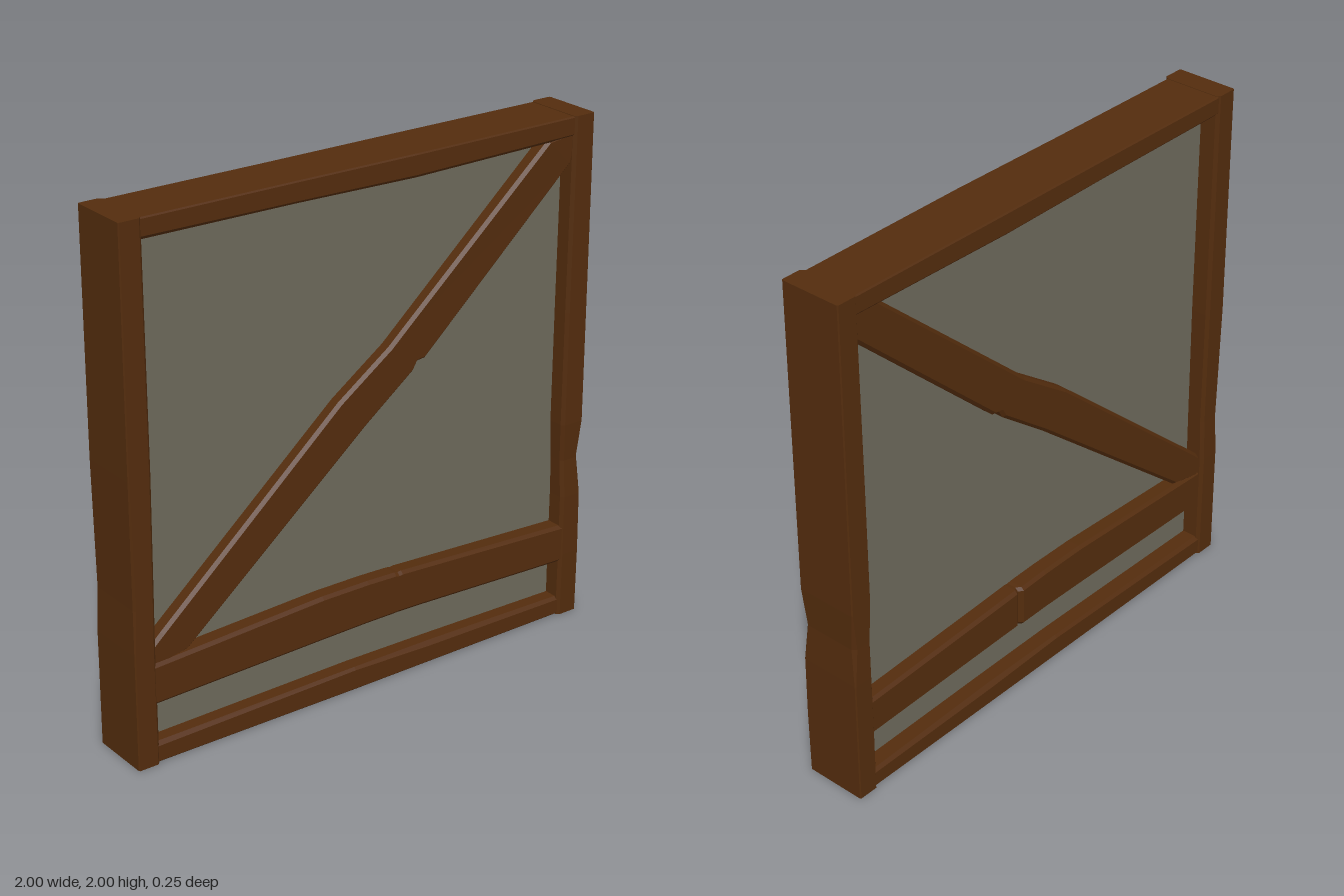
import * as THREE from 'three';

const wood = new THREE.MeshStandardMaterial({ color: 0x532c0d, flatShading: true });
wood.name = 'dark timber';
const plaster = new THREE.MeshStandardMaterial({ color: 0x6d695b });
plaster.name = 'grey plaster';

// Rough-hewn beam: each station is [ax, ay, bx, by, zFront, zBack, chamferA, chamferB],
// where a and b are the two long edges of the beam; sections have cut corners.
function beam(name, stations) {
  const rings = stations.map(([ax, ay, bx, by, zf, zb, ca = 0.012, cb = 0.012]) => {
    const len = Math.hypot(bx - ax, by - ay);
    const at = (d, z) => new THREE.Vector3(ax + (bx - ax) * d / len, ay + (by - ay) * d / len, z);
    const a = Math.min(ca, len / 3), b = Math.min(cb, len / 3);
    return [
      at(a, zb), at(len - b, zb), at(len, zb + b), at(len, zf - b),
      at(len - b, zf), at(a, zf), at(0, zf - a), at(0, zb + a),
    ];
  });
  const pos = [];
  const tri = (...pts) => pts.forEach((p) => pos.push(p.x, p.y, p.z));
  for (let k = 0; k < rings.length - 1; k++) {
    const r = rings[k], s = rings[k + 1];
    for (let i = 0; i < 8; i++) {
      const j = (i + 1) % 8;
      tri(r[i], r[j], s[j]);
      tri(r[i], s[j], s[i]);
    }
  }
  const first = rings[0], last = rings[rings.length - 1];
  for (let i = 1; i < 7; i++) {
    tri(first[0], first[i + 1], first[i]);
    tri(last[0], last[i], last[i + 1]);
  }
  const geo = new THREE.BufferGeometry();
  geo.setAttribute('position', new THREE.Float32BufferAttribute(pos, 3));
  geo.computeVertexNormals();
  const mesh = new THREE.Mesh(geo, wood);
  mesh.name = name;
  return mesh;
}

export function createModel() {
  const group = new THREE.Group();
  group.name = 'timberWall';

  // Plaster infill, recessed on both faces
  const panel = new THREE.Mesh(new THREE.BoxGeometry(1.88, 1.92, 0.1), plaster);
  panel.name = 'plasterPanel';
  panel.position.y = 1;
  group.add(panel);

  // Upright posts
  group.add(beam('leftPost', [
    [1, 0, 0.91, 0, 0.12, -0.125, 0.004],
    [1, 0.26, 0.91, 0.26, 0.123, -0.125, 0.004],
    [1, 0.5, 0.912, 0.5, 0.12, -0.125, 0.004],
    [0.994, 0.65, 0.91, 0.65, 0.112, -0.122, 0.014],
    [1, 0.8, 0.902, 0.8, 0.12, -0.125, 0.004],
    [1, 1.25, 0.904, 1.25, 0.12, -0.125, 0.004],
    [1, 2, 0.91, 2, 0.12, -0.125, 0.004],
  ]));
  group.add(beam('rightPost', [
    [-0.91, 0, -1, 0, 0.12, -0.125, 0.012, 0.004],
    [-0.912, 0.45, -1, 0.45, 0.12, -0.125, 0.012, 0.004],
    [-0.91, 0.62, -0.997, 0.62, 0.12, -0.12, 0.012, 0.008],
    [-0.906, 1.1, -1, 1.1, 0.12, -0.125, 0.012, 0.004],
    [-0.91, 2, -1, 2, 0.12, -0.125, 0.012, 0.004],
  ]));

  // Horizontal beams: [x, yLow, yHigh, zFront, zBack, chamferLow, chamferHigh]
  const rail = (name, rows) => group.add(beam(name,
    rows.map(([x, lo, hi, ...rest]) => [x, lo, x, hi, ...rest])));
  rail('topBeam', [
    [-0.92, 1.92, 1.998, 0.112, -0.12, 0.014, 0.005],
    [-0.3, 1.918, 1.998, 0.113, -0.118, 0.01, 0.005],
    [0.2, 1.91, 1.998, 0.118, -0.12, 0.012, 0.005],
    [0.92, 1.92, 1.998, 0.112, -0.12, 0.012, 0.005],
  ]);
  rail('bottomBeam', [
    [-0.92, 0.002, 0.08, 0.112, -0.12, 0.005, 0.014],
    [-0.06, 0, 0.09, 0.114, -0.118, 0.005, 0.01],
    [0.3, 0.002, 0.086, 0.115, -0.12, 0.005, 0.016],
    [0.92, 0.002, 0.075, 0.112, -0.12, 0.005, 0.012],
  ]);
  // Middle rail with a split across its rear face
  rail('middleRail', [
    [-0.92, 0.233, 0.39, 0.118, -0.11],
    [-0.2, 0.246, 0.422, 0.112, -0.112],
    [0, 0.25, 0.422, 0.112, -0.114],
    [0.125, 0.25, 0.418, 0.112, -0.116],
    [0.14, 0.251, 0.415, 0.112, -0.1],
    [0.155, 0.25, 0.417, 0.112, -0.112],
    [0.25, 0.248, 0.412, 0.112, -0.112],
    [0.92, 0.227, 0.38, 0.118, -0.11],
  ]);

  // Diagonal brace with a small chip on its lower edge
  group.add(beam('diagonalBrace', [
    [-0.9, 0.37, -0.93, 0.45, 0.106, -0.106],
    [-0.77, 0.4, -0.88, 0.496, 0.106, -0.106],
    [0, 1.03, -0.12, 1.15, 0.1, -0.104],
    [0.21, 1.19, 0.1, 1.305, 0.1, -0.104],
    [0.228, 1.222, 0.125, 1.327, 0.1, -0.104],
    [0.262, 1.226, 0.16, 1.358, 0.1, -0.104],
    [0.91, 1.82, 0.8, 1.925, 0.106, -0.106],
    [0.93, 1.9, 0.9, 1.94, 0.106, -0.106],
  ]));

  return group;
}
